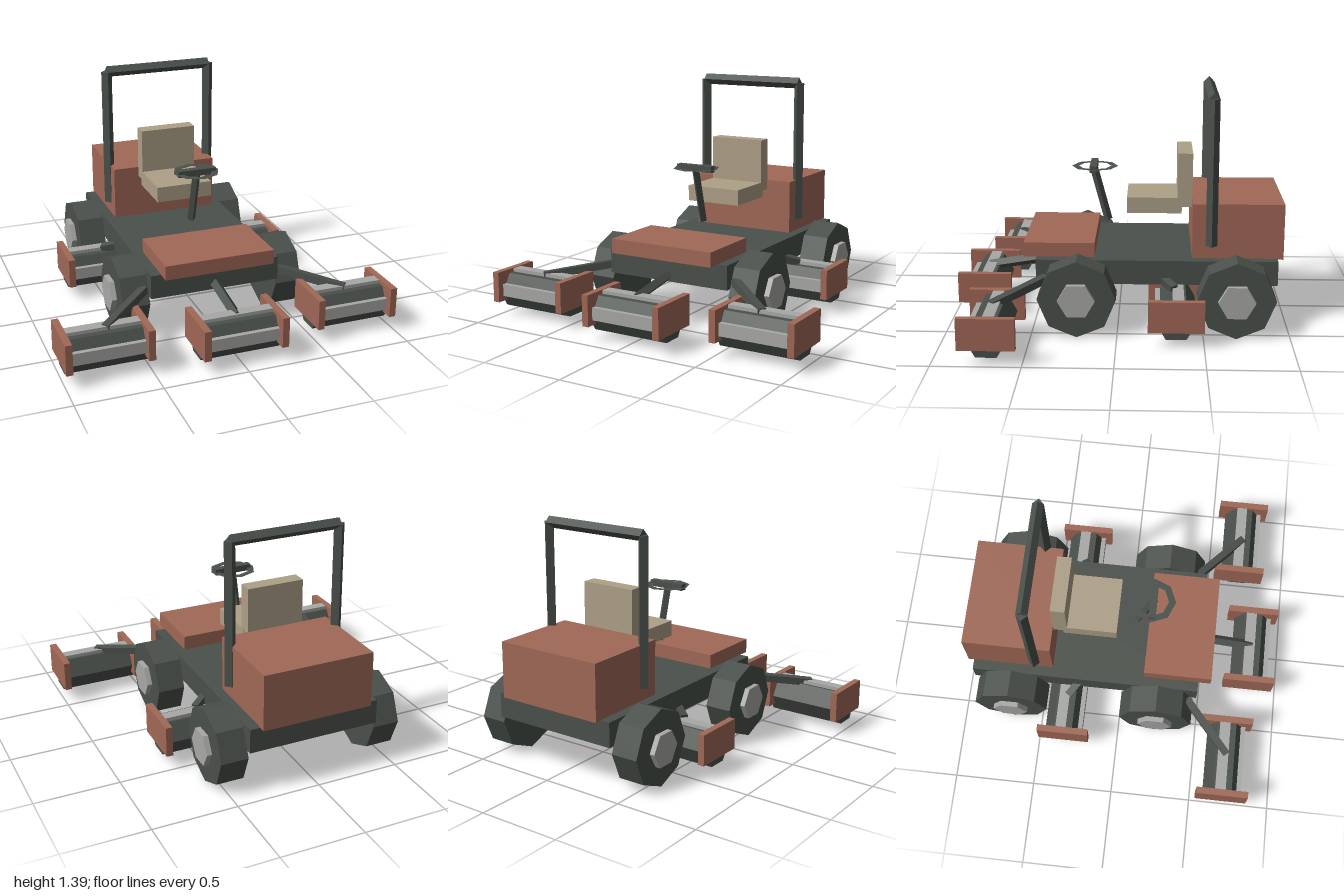
import * as THREE from 'three';

const paint = (color) => new THREE.MeshStandardMaterial({ color, flatShading: true, side: THREE.DoubleSide });

export function createModel() {
  const model = new THREE.Group();
  model.name = 'reelMower';
  const dark = paint(0x4a504b), red = paint(0xa06856), tan = paint(0xaea088), steel = paint(0xa8a8a6);

  const add = (name, geometry, material, parent = model) => {
    const mesh = new THREE.Mesh(geometry, material);
    mesh.name = name;
    parent.add(mesh);
    return mesh;
  };

  // Box given by its extents on each axis
  const box = (name, [x0, x1], [y0, y1], [z0, z1], material, parent) => {
    const mesh = add(name, new THREE.BoxGeometry(x1 - x0, y1 - y0, z1 - z0), material, parent);
    mesh.position.set((x0 + x1) / 2, (y0 + y1) / 2, (z0 + z1) / 2);
    return mesh;
  };

  // Four-sided bar between two points
  const bar = (name, from, to, radius, material = dark) => {
    const a = new THREE.Vector3(...from), b = new THREE.Vector3(...to);
    const mesh = add(name, new THREE.CylinderGeometry(radius, radius, a.distanceTo(b), 4), material);
    mesh.position.copy(a).add(b).multiplyScalar(0.5);
    mesh.quaternion.setFromUnitVectors(new THREE.Vector3(0, 1, 0), b.sub(a).normalize());
    return mesh;
  };

  // Cylinder lying along x
  const drum = (name, x, y, z, radius, width, sides, material, parent) => {
    const geometry = new THREE.CylinderGeometry(radius, radius, width, sides).rotateZ(Math.PI / 2);
    const mesh = add(name, geometry, material, parent);
    mesh.position.set(x, y, z);
    return mesh;
  };

  // Body
  box('chassis', [-0.397, 0.397], [0.27, 0.415], [-0.935, 0.48], dark);
  box('engineCover', [-0.335, 0.335], [0.41, 0.742], [-0.97, -0.435], red);
  box('frontDeck', [-0.335, 0.335], [0.413, 0.5], [0.138, 0.557], red);

  // Seat
  box('seatCushion', [-0.175, 0.175], [0.642, 0.737], [-0.375, -0.048], tan);
  box('seatBack', [-0.174, 0.174], [0.682, 1.006], [-0.438, -0.35], tan);

  // Steering
  bar('steeringColumn', [0, 0.555, 0.07], [0, 0.89, 0.16], 0.025);
  const ring = add('steeringWheel', new THREE.RingGeometry(0.098, 0.14, 8).rotateX(-Math.PI / 2), dark);
  ring.position.set(0, 0.89, 0.15);
  box('steeringSpoke', [-0.117, 0.117], [0.872, 0.91], [0.135, 0.178], dark);

  // Roll bar
  for (const side of [-1, 1]) bar('rollBarPost', [0.337 * side, 0.49, -0.547], [0.337 * side, 1.357, -0.547], 0.034);
  bar('rollBarTop', [-0.337, 1.357, -0.547], [0.337, 1.357, -0.547], 0.034);

  // Wheels with hexagonal hubs
  for (const side of [-1, 1]) {
    for (const z of [0.233, -0.688]) {
      drum('tyre', 0.479 * side, 0.228, z, 0.228, 0.164, 8, dark);
      drum('hub', 0.507 * side, 0.228, z, 0.108, 0.17, 6, steel);
    }
  }

  // Cutting units: drum, two pale blades and end plates
  const cuttingUnit = (x, z) => {
    const unit = new THREE.Group();
    unit.name = 'cuttingUnit';
    unit.position.set(x, 0, z);
    model.add(unit);
    drum('reel', 0, 0.15, 0, 0.117, 0.48, 6, dark, unit);
    box('topBlade', [-0.22, 0.22], [0.24, 0.272], [-0.045, 0.02], steel, unit);
    box('frontBlade', [-0.22, 0.22], [0.122, 0.195], [0.085, 0.12], steel, unit);
    for (const side of [-1, 1]) {
      const plate = box('endPlate', [-0.02, 0.02], [0.092, 0.275], [-0.16, 0.16], red, unit);
      plate.position.x = 0.233 * side;
    }
  };
  cuttingUnit(0, 0.808);
  bar('centreArm', [0, 0.31, 0.44], [0, 0.25, 0.81], 0.032);
  for (const side of [-1, 1]) {
    cuttingUnit(0.747 * side, 0.692);
    cuttingUnit(0.462 * side, -0.34);
    bar('frontArm', [0.42 * side, 0.31, 0.42], [0.735 * side, 0.255, 0.7], 0.032);
    bar('rearArm', [0.36 * side, 0.3, -0.26], [0.46 * side, 0.265, -0.33], 0.032);
  }

  return model;
}
